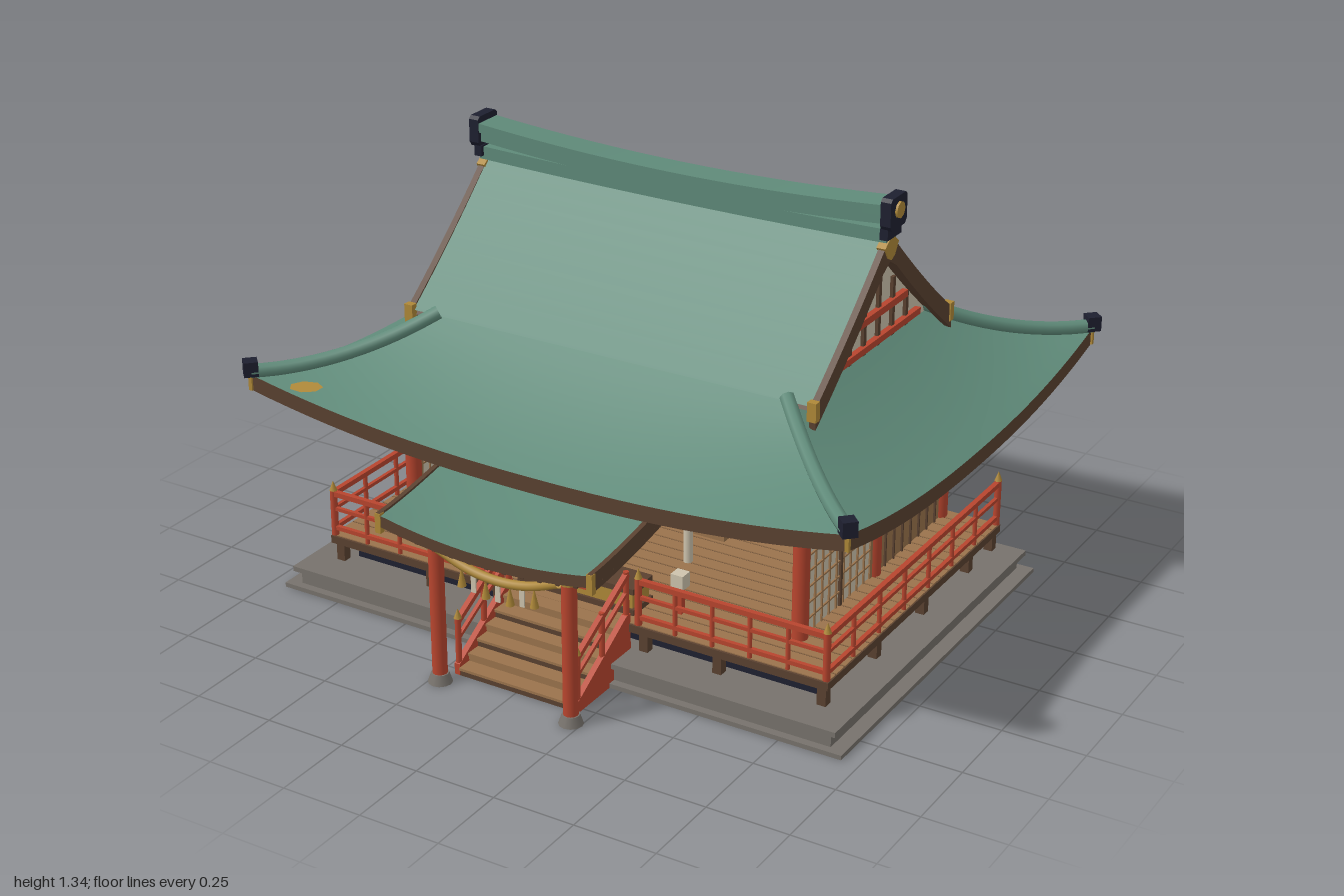
import * as THREE from 'three';

const M = {};
for (const [name, hex] of Object.entries({
  patinaGreen: 0x5f8a79, darkTimber: 0x5a4130, plankWood: 0x9a734c, vermilion: 0xb8452e, plaster: 0xcdc3ad,
  stone: 0x77726c, tileNavy: 0x1e2030, brass: 0xae8838, curtainPurple: 0x5d4796,
})) M[name] = new THREE.MeshStandardMaterial({ color: hex, name, side: THREE.DoubleSide });

const CZ = -0.115, DECK = 0.157;
const lerp = THREE.MathUtils.lerp;
const V = (x, y, z) => new THREE.Vector3(x, y, z);

function add(parent, name, geo, mat, x = 0, y = 0, z = 0) {
  const m = new THREE.Mesh(geo, mat);
  m.name = name;
  m.position.set(x, y, z);
  parent.add(m);
  return m;
}
// box given by its limits
const box = (p, name, mat, x0, x1, y0, y1, z0, z1) => add(p, name,
  new THREE.BoxGeometry(Math.abs(x1 - x0), y1 - y0, Math.abs(z1 - z0)), mat, (x0 + x1) / 2, (y0 + y1) / 2, (z0 + z1) / 2);
const post = (p, name, mat, r, x, z, y0, y1, n = 12) =>
  add(p, name, new THREE.CylinderGeometry(r, r, y1 - y0, n), mat, x, (y0 + y1) / 2, z);
// square bar between two points
function bar(p, name, mat, a, b, w, h = w) {
  const m = add(p, name, new THREE.BoxGeometry(w, h, a.distanceTo(b)), mat);
  m.position.copy(a).lerp(b, 0.5);
  m.lookAt(b);
  return m;
}
// curved surface from fn(u, v), both 0..1
function sheet(p, name, mat, fn, nu, nv) {
  const g = new THREE.PlaneGeometry(1, 1, nu, nv), a = g.attributes.position;
  for (let i = 0; i < a.count; i++) a.setXYZ(i, ...fn(a.getX(i) + 0.5, a.getY(i) + 0.5).toArray());
  g.computeVertexNormals();
  return add(p, name, g, mat);
}
function group(parent, name) {
  const g = new THREE.Group();
  g.name = name;
  parent.add(g);
  return g;
}
// shape in the z-y plane, extruded along x about x = cx
function gablePlate(p, name, mat, pts, thick, cx) {
  const g = new THREE.ExtrudeGeometry(new THREE.Shape(pts.map(q => new THREE.Vector2(...q))), { depth: thick, bevelEnabled: false });
  g.translate(0, 0, -thick / 2).rotateY(-Math.PI / 2);
  return add(p, name, g, mat, cx, 0, CZ);
}

// side k of the skirt roof (0 front, 1 left, 2 back, 3 right): along l, outward o
const place = (k, l, o, y) => [V(l, y, CZ + o), V(o, y, CZ - l), V(-l, y, CZ - o), V(-o, y, CZ + l)][k];
const skirtY = (u, t) => 0.847 - 0.217 * (1.3 * t - 0.3 * t * t) + 0.085 * Math.abs(u) ** 2.3 * t * t;
function skirt(k, u, t, dy = 0) {
  const along = k % 2 ? lerp(0.4, 0.79, t) : lerp(0.58, 0.975, t);
  const out = k % 2 ? lerp(0.58, 0.975, t) : lerp(0.4, 0.79, t);
  return place(k, along * u, out, skirtY(u, t) + dy);
}
function soffit(k, u, t, dy = 0) {
  const along = k % 2 ? lerp(0.44, 0.785, t) : lerp(0.655, 0.97, t);
  const out = k % 2 ? lerp(0.655, 0.97, t) : lerp(0.44, 0.785, t);
  return place(k, along * u, out, lerp(0.7, skirtY(u, 1) - 0.045, t) + dy);
}
const upperY = s => 1.215 - 0.365 * (1.12 * s - 0.12 * s * s);

function buildRoof(root) {
  const roof = group(root, 'mainRoof');
  for (let k = 0; k < 4; k++) {
    sheet(roof, 'skirtRoof', M.patinaGreen, (u, t) => skirt(k, 2 * u - 1, t), 28, 10);
    sheet(roof, 'eaveFascia', M.darkTimber, (u, t) => skirt(k, 2 * u - 1, 1, -0.048 * t), 28, 1);
    sheet(roof, 'soffit', M.darkTimber, (u, t) => soffit(k, 2 * u - 1, t), 28, 2);
    const n = k % 2 ? 22 : 28;
    for (let i = 0; i <= n; i++) {
      const u = 2 * i / n - 1;
      bar(roof, 'rafter', M.darkTimber, soffit(k, u, 0, -0.01), soffit(k, u, 0.93, -0.01), 0.014, 0.024);
    }
    // hip ridge and its end tile
    const hip = [];
    for (let i = 0; i <= 8; i++) hip.push(skirt(k, 1, i / 8, 0.012));
    add(roof, 'hipRidge', new THREE.TubeGeometry(new THREE.CatmullRomCurve3(hip), 16, 0.022, 8), M.patinaGreen);
    const cap = skirt(k, 1, 1, 0.023);
    add(roof, 'hipEndTile', new THREE.BoxGeometry(0.042, 0.046, 0.042), M.tileNavy, cap.x, cap.y, cap.z).rotation.y = Math.PI / 4;
    const tip = skirt(k, 1, 1, -0.025);
    add(roof, 'hipTipBrass', new THREE.BoxGeometry(0.012, 0.045, 0.012), M.brass, tip.x, tip.y, tip.z);
  }
  // upper roof slopes
  for (const s of [1, -1]) {
    sheet(roof, 'upperRoof', M.patinaGreen, (u, v) => V(lerp(-0.675, 0.675, u), upperY(v) + 0.004, CZ + s * 0.415 * v), 1, 12);
    sheet(roof, 'upperRoofLining', M.darkTimber, (u, v) => V(lerp(-0.67, 0.67, u), upperY(v) - 0.012, CZ + s * 0.41 * v), 1, 12);
  }
  // gables
  const top = [], low = [];
  for (let i = -10; i <= 10; i++) {
    const s = Math.abs(i / 10);
    top.push([0.42 * i / 10, upperY(s) + 0.006]);
    low.unshift([0.42 * i / 10, upperY(s) - (s < 0.05 ? 0.075 : 0.06)]);
  }
  for (const s of [1, -1]) {
    const gable = group(roof, 'gable');
    gablePlate(gable, 'bargeboard', M.darkTimber, [...top, ...low], 0.02, s * 0.67);
    gablePlate(gable, 'gableWall', M.plaster, [[-0.41, 0.82], ...top.map(q => [q[0], q[1] - 0.02]), [0.41, 0.82]], 0.02, s * 0.59);
    for (let i = -3; i <= 3; i++) {
      const z = i * 0.088;
      box(gable, 'gableStud', M.darkTimber, s * 0.6, s * 0.61, 0.84, upperY(Math.abs(z) / 0.42) - 0.03, CZ + z - 0.008, CZ + z + 0.008);
    }
    box(gable, 'gableBeam', M.vermilion, s * 0.6, s * 0.618, 0.85, 0.87, CZ - 0.34, CZ + 0.34);
    box(gable, 'gableBeam', M.vermilion, s * 0.6, s * 0.618, 0.935, 0.957, CZ - 0.25, CZ + 0.25);
    gablePlate(gable, 'apexPlate', M.brass, [[-0.042, 1.19], [0, 1.222], [0.042, 1.19], [0.02, 1.155], [0, 1.145], [-0.02, 1.155]], 0.028, s * 0.67);
    for (const z of [-1, 1]) box(gable, 'bargeFoot', M.brass, s * 0.656, s * 0.684, 0.815, 0.872, CZ + z * 0.405, CZ + z * 0.428);
    // ridge end tile
    const tile = [[-1, -0.7], [-0.8, -1], [0.8, -1], [1, -0.7], [1, 0.8], [0.8, 1], [-0.8, 1], [-1, 0.8]];
    gablePlate(gable, 'ridgeEndTile', M.tileNavy, tile.map(q => [q[0] * 0.05, 1.292 + q[1] * 0.047]), 0.032, s * 0.685);
    box(gable, 'ridgeEndNeck', M.tileNavy, s * 0.665, s * 0.69, 1.215, 1.248, CZ - 0.042, CZ + 0.042);
    add(gable, 'ridgeBadge', new THREE.CylinderGeometry(0.025, 0.025, 0.012, 8), M.brass, s * 0.702, 1.298, CZ).rotation.z = Math.PI / 2;
  }
  // sagging ridge in three courses
  for (const [w, y0, y1] of [[0.06, 1.195, 1.235], [0.074, 1.232, 1.262], [0.094, 1.262, 1.29]]) {
    const g = new THREE.BoxGeometry(1.36, y1 - y0, w, 20, 1, 1).translate(0, (y0 + y1) / 2, 0), a = g.attributes.position;
    for (let i = 0; i < a.count; i++) a.setY(i, a.getY(i) + 0.03 * (a.getX(i) / 0.68) ** 2 * (y0 > 1.2 ? 1 : 0.3));
    g.computeVertexNormals();
    add(roof, 'ridgeCourse', g, M.patinaGreen, 0, 0, CZ);
  }
  // fallen leaves on the slopes
  for (const [k, u, t] of [[2, -0.42, 0.94], [2, -0.93, 0.86], [3, -0.65, 0.9], [0, -0.86, 0.9]]) {
    const p = skirt(k, u, t), du = skirt(k, u + 0.02, t).sub(p), dt = skirt(k, u, t + 0.02).sub(p);
    const leaf = add(roof, 'leaf', new THREE.CircleGeometry(0.05, 7).scale(1, 0.5, 1), M.brass);
    const n = dt.cross(du).normalize();
    if (n.y < 0) n.negate();
    leaf.position.copy(p).addScaledVector(n, 0.008);
    leaf.lookAt(leaf.position.clone().add(n));
  }
}

function buildBase(root) {
  const base = group(root, 'base');
  box(base, 'stoneFooting', M.stone, -0.945, 0.945, 0, 0.014, -0.64, 0.615);
  box(base, 'stonePlinth', M.stone, -0.9, 0.9, 0.014, 0.056, -0.615, 0.59);
  box(base, 'stoneCap', M.stone, -0.92, 0.92, 0.056, 0.072, -0.63, 0.605);
  box(base, 'underfloor', M.tileNavy, -0.79, 0.79, 0.07, 0.133, -0.57, 0.45);
  box(base, 'deck', M.darkTimber, -0.845, 0.845, 0.13, 0.154, -0.6, 0.51);
  for (let i = 0; i < 22; i++) box(base, 'floorBoard', M.plankWood, -0.842, 0.842, 0.153, DECK, -0.597 + i * 0.0503, -0.553 + i * 0.0503);
  for (const x of [-0.82, -0.49, -0.25, 0.25, 0.49, 0.82]) for (const z of [0.485, 0.18, -0.12, -0.42, -0.585])
    if (Math.abs(x) > 0.8 || z > 0.4 || z < -0.5) box(base, 'deckSupport', M.darkTimber, x - 0.014, x + 0.014, 0.07, 0.13, z - 0.014, z + 0.014);
}

function buildHall(root) {
  const hall = group(root, 'hall'), zf = 0.33, zb = -0.56;
  const cols = [-0.66, -0.22, 0.22, 0.66].map(x => [x, zb]);
  for (const x of [-0.66, 0.66]) cols.push([x, zf], [x, CZ]);
  for (const [x, z] of cols) {
    post(hall, 'column', M.vermilion, 0.024, x, z, 0.1, 0.69);
    post(hall, 'columnBand', M.brass, 0.027, x, z, 0.565, 0.583);
    box(hall, 'bracketBlock', M.vermilion, x - 0.04, x + 0.04, 0.625, 0.648, z - 0.04, z + 0.04);
    box(hall, 'bracketArm', M.vermilion, x - 0.07, x + 0.07, 0.655, 0.675, z - 0.07, z + 0.07);
  }
  // frieze: tie beams, plaster band and arched struts on each side
  for (let k = 0; k < 4; k++) {
    const f = group(hall, 'frieze'), w = k % 2 ? 0.445 : 0.66, o = k % 2 ? 0.66 : 0.445;
    f.position.z = CZ;
    f.rotation.y = k * Math.PI / 2;
    box(f, 'tieBeam', M.vermilion, -w - 0.05, w + 0.05, 0.578, 0.605, o - 0.02, o + 0.02);
    box(f, 'plasterBand', M.plaster, -w, w, 0.6, 0.7, o - 0.01, o + 0.005);
    box(f, 'purlin', M.vermilion, -w - 0.08, w + 0.08, 0.672, 0.692, o - 0.02, o + 0.03);
    const bays = k % 2 ? 2 : 3;
    for (let i = 0; i < bays; i++) {
      const x = w * ((2 * i + 1) / bays - 1);
      add(f, 'archedStrut', new THREE.TorusGeometry(0.04, 0.012, 6, 10, Math.PI), M.vermilion, x, 0.612, o + 0.008);
      box(f, 'strutBlock', M.vermilion, x - 0.02, x + 0.02, 0.655, 0.675, o, o + 0.02);
    }
  }
  box(hall, 'ceiling', M.darkTimber, -0.65, 0.65, 0.6, 0.61, zb, zf);
  // planked walls with battens
  box(hall, 'backWall', M.plankWood, -0.65, 0.65, DECK, 0.58, zb - 0.006, zb + 0.006);
  for (let i = 1; i < 24; i++) box(hall, 'batten', M.darkTimber, -0.664 + i * 0.055, -0.656 + i * 0.055, DECK, 0.578, zb - 0.012, zb - 0.006);
  for (const s of [1, -1]) {
    box(hall, 'sideWall', M.plankWood, s * 0.654, s * 0.666, DECK, 0.58, zb, CZ);
    for (let i = 1; i < 8; i++) box(hall, 'batten', M.darkTimber, s * 0.666, s * 0.672, DECK, 0.578, zb + i * 0.055 - 0.003, zb + i * 0.055 + 0.003);
    // paper screens with lattice
    box(hall, 'paperScreen', M.plaster, s * 0.656, s * 0.664, DECK, 0.58, CZ, zf);
    box(hall, 'screenHead', M.plankWood, s * 0.65, s * 0.674, 0.485, 0.498, CZ, zf);
    for (let i = 0; i <= 9; i++) {
      const z = lerp(CZ + 0.03, zf - 0.03, i / 9), r = i % 9 === 0 ? 0.007 : 0.003;
      box(hall, 'lattice', M.plankWood, s * 0.652, s * 0.669, DECK, 0.578, z - r, z + r);
    }
    box(hall, 'screenStile', M.darkTimber, s * 0.65, s * 0.672, DECK, 0.49, 0.1, 0.112);
    for (let i = 0; i < 8; i++) box(hall, 'lattice', M.plankWood, s * 0.652, s * 0.669, 0.2 + i * 0.05, 0.205 + i * 0.05, CZ, zf);
    // curtain, crest and transom grille over each open front bay
    sheet(hall, 'curtain', M.curtainPurple, (u, v) => V(s * lerp(0.22, 0.645, u), lerp(0.505, 0.442 + 0.035 * (2 * u - 1) ** 2, v), zf), 16, 1);
    add(hall, 'crest', new THREE.CylinderGeometry(0.018, 0.018, 0.006, 16), M.plaster, s * 0.44, 0.472, zf + 0.005).rotation.x = Math.PI / 2;
    box(hall, 'transom', M.tileNavy, s * 0.22, s * 0.645, 0.51, 0.578, zf - 0.006, zf);
    box(hall, 'transomRail', M.vermilion, s * 0.22, s * 0.645, 0.5, 0.511, zf - 0.012, zf + 0.01);
    for (let i = 0; i < 14; i++) box(hall, 'transomBar', M.plankWood, s * (0.235 + i * 0.03), s * (0.241 + i * 0.03), 0.511, 0.578, zf, zf + 0.006);
    box(hall, 'lantern', M.plaster, s * 0.28, s * 0.32, 0.24, 0.285, 0.36, 0.4);
    box(hall, 'lanternStand', M.vermilion, s * 0.29, s * 0.31, DECK, 0.24, 0.37, 0.39);
    add(hall, 'evergreen', new THREE.IcosahedronGeometry(0.032, 1), M.patinaGreen, s * 0.16, 0.36, 0.1);
    post(hall, 'evergreenStand', M.plaster, 0.014, s * 0.16, 0.1, DECK, 0.335);
    post(hall, 'offeringJar', M.plaster, 0.012, s * 0.1, -0.08, 0.265, 0.3);
  }
  // altar and offering box
  box(hall, 'altar', M.plankWood, -0.19, 0.19, DECK, 0.265, -0.3, -0.06);
  box(hall, 'altarScreen', M.plaster, -0.2, 0.2, 0.265, 0.46, -0.32, -0.31);
  add(hall, 'mirror', new THREE.CylinderGeometry(0.035, 0.035, 0.012, 20), M.brass, 0, 0.335, -0.14).rotation.x = Math.PI / 2;
  box(hall, 'mirrorStand', M.darkTimber, -0.025, 0.025, 0.265, 0.3, -0.16, -0.12);
  box(hall, 'offeringBox', M.brass, -0.19, 0.19, 0.175, 0.225, 0.37, 0.46);
  for (const y of [DECK, 0.223]) box(hall, 'offeringBoxTrim', M.darkTimber, -0.198, 0.198, y, y + 0.018, 0.362, 0.468);
}

function buildRailings(root) {
  const rails = group(root, 'railings');
  const run = (a, b, n) => {
    for (const [y, w] of [[0.295, 0.016], [0.245, 0.011], [0.182, 0.013]])
      bar(rails, 'rail', M.vermilion, V(a.x, y, a.z), V(b.x, y, b.z), w);
    for (let i = 0; i <= n; i++) {
      const p = a.clone().lerp(b, i / n), end = i === 0 || i === n;
      post(rails, 'railPost', M.vermilion, end ? 0.011 : 0.007, p.x, p.z, DECK, end ? 0.305 : 0.29, 8);
      if (end) add(rails, 'finial', new THREE.ConeGeometry(0.012, 0.032, 8), M.brass, p.x, 0.32, p.z);
    }
  };
  for (const s of [1, -1]) {
    run(V(s * 0.835, 0, 0.5), V(s * 0.835, 0, -0.59), 7);
    run(V(s * 0.835, 0, 0.5), V(s * 0.235, 0, 0.5), 5);
  }
}

function buildPorch(root) {
  const porch = group(root, 'porch');
  // stairs with solid stringers and sloping rails
  for (let i = 0; i < 6; i++) box(porch, 'step', i % 2 ? M.plankWood : M.darkTimber, -0.19, 0.19, 0, 0.026 * (i + 1) - 0.006, 0.5, 0.775 - i * 0.045);
  for (let i = 0; i < 6; i++) box(porch, 'tread', M.plankWood, -0.19, 0.19, 0.026 * (i + 1) - 0.008, 0.026 * (i + 1), 0.5, 0.78 - i * 0.045);
  for (const s of [1, -1]) {
    const g = gablePlate(porch, 'stringer', M.vermilion, [[0.5, 0], [0.775, 0], [0.775, 0.035], [0.52, 0.185], [0.5, 0.185]], 0.018, s * 0.2);
    g.position.z = 0;
    for (const [y, w] of [[0, 0.016], [-0.055, 0.011]]) bar(porch, 'stairRail', M.vermilion, V(s * 0.2, 0.17 + y, 0.765), V(s * 0.2, 0.31 + y, 0.505), w);
    for (let i = 0; i < 3; i++) post(porch, 'stairRailPost', M.vermilion, 0.009, s * 0.2, 0.765 - i * 0.128, 0.03 + i * 0.07, 0.18 + i * 0.07, 8);
    add(porch, 'finial', new THREE.ConeGeometry(0.012, 0.03, 8), M.brass, s * 0.2, 0.193, 0.765);
    // columns
    post(porch, 'porchColumn', M.vermilion, 0.022, s * 0.22, 0.83, 0.02, 0.47);
    add(porch, 'columnFoot', new THREE.CylinderGeometry(0.026, 0.036, 0.03, 12), M.stone, s * 0.22, 0.015, 0.83);
    post(porch, 'columnBand', M.brass, 0.025, s * 0.22, 0.83, 0.435, 0.455);
    box(porch, 'linkBeam', M.vermilion, s * 0.21, s * 0.23, 0.452, 0.476, 0.33, 0.875);
    box(porch, 'bracket', M.vermilion, s * 0.17, s * 0.27, 0.472, 0.49, 0.8, 0.86);
  }
  box(porch, 'frontBeam', M.vermilion, -0.29, 0.29, 0.44, 0.47, 0.815, 0.845);
  // curved porch roof
  const top = (u, v, dy = 0) => V(lerp(-0.345, 0.345, u), 0.532 + 0.085 * v ** 1.5 - 0.035 * (1 - (2 * u - 1) ** 2) * (1 - v) + dy, lerp(0.92, 0.4, v));
  sheet(porch, 'porchRoof', M.patinaGreen, (u, v) => top(u, v), 16, 10);
  sheet(porch, 'porchSoffit', M.darkTimber, (u, v) => top(u, v, -0.03), 16, 10);
  sheet(porch, 'porchFascia', M.darkTimber, (u, v) => top(u, 0, -0.035 * v), 16, 1);
  for (const e of [0, 1]) {
    for (let i = 0; i < 10; i++) bar(porch, 'porchEdge', M.darkTimber, top(e, i / 10, -0.022), top(e, (i + 1) / 10, -0.022), 0.014, 0.055);
    const p = top(e, 0, -0.025);
    box(porch, 'porchEdgeTip', M.brass, p.x - 0.009, p.x + 0.009, p.y - 0.03, p.y + 0.03, 0.905, 0.924);
  }
  for (let i = 1; i < 12; i++) bar(porch, 'porchRafter', M.darkTimber, top(i / 12, 0.03, -0.04), top(i / 12, 0.5, -0.04), 0.012, 0.02);
  // straw rope with tassels and paper strips
  const sag = x => 0.39 + 1.2 * x * x;
  const pts = [-0.2, -0.1, 0, 0.1, 0.2].map(x => V(x, sag(x), 0.85));
  add(porch, 'strawRope', new THREE.TubeGeometry(new THREE.CatmullRomCurve3(pts), 24, 0.014, 8), M.brass);
  for (const x of [-0.12, -0.04, 0.04, 0.12]) add(porch, 'tassel', new THREE.ConeGeometry(0.013, 0.06, 8), M.brass, x, sag(x) - 0.035, 0.85);
  for (const x of [-0.08, 0, 0.08]) box(porch, 'paperStrip', M.plaster, x - 0.008, x + 0.008, sag(x) - 0.065, sag(x), 0.848, 0.852);
}

export function createModel() {
  const root = new THREE.Group();
  root.name = 'shrineHall';
  for (const build of [buildBase, buildHall, buildRailings, buildPorch, buildRoof]) build(root);
  return root;
}
